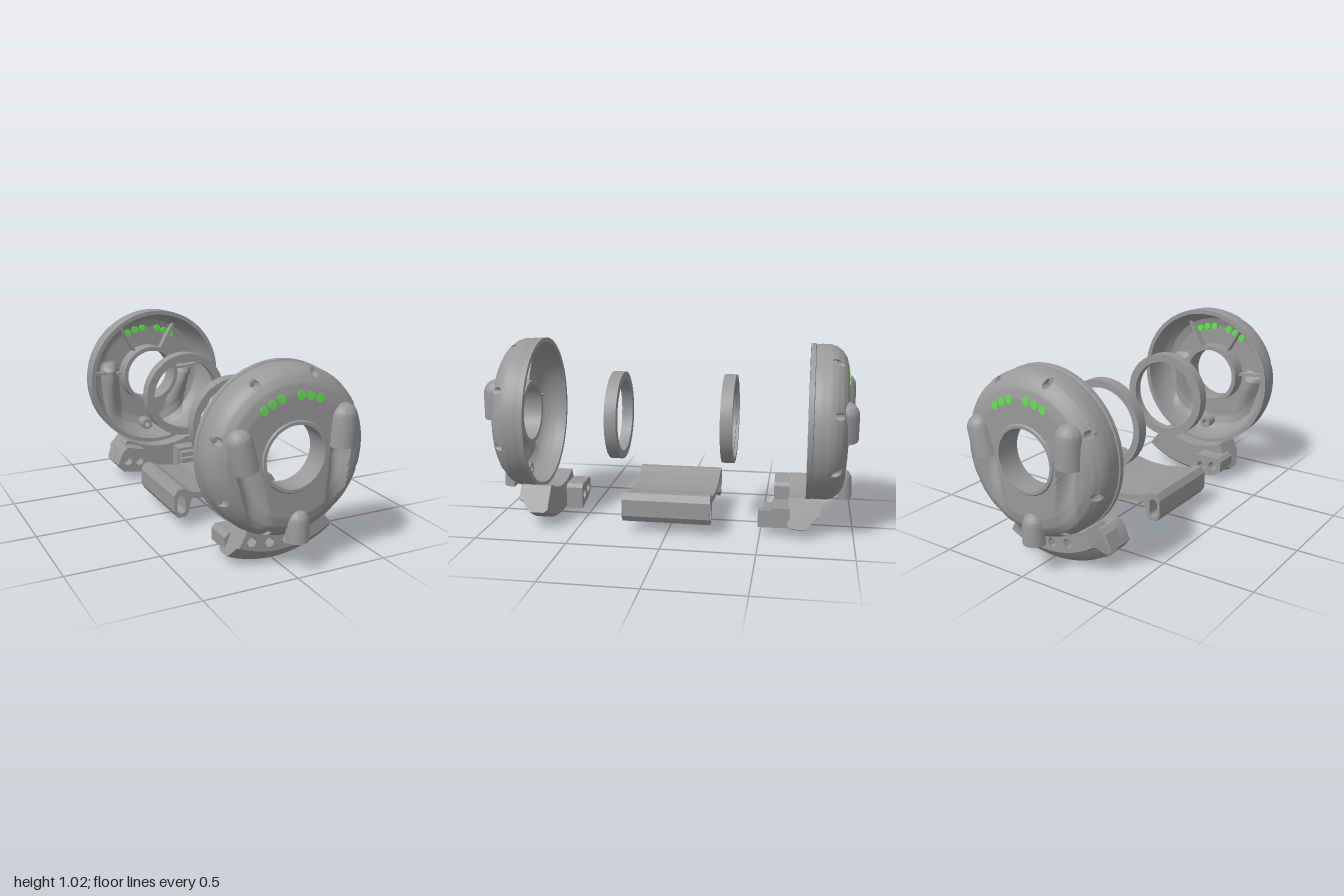
import * as THREE from 'three';
import { toCreasedNormals } from 'three/addons/utils/BufferGeometryUtils.js';

const grey = new THREE.MeshStandardMaterial({ color: 0x999999 });
const greyThin = new THREE.MeshStandardMaterial({ color: 0x999999, side: THREE.DoubleSide });
const green = new THREE.MeshStandardMaterial({ color: 0x60e84c });
const CY = 0.6; // height of the disc axis
const rad = THREE.MathUtils.degToRad;
const v2 = (list) => list.map(([x, y]) => new THREE.Vector2(x, y));

function add(parent, name, geometry, x = 0, y = 0, z = 0, material = grey) {
  const mesh = new THREE.Mesh(geometry, material);
  mesh.name = name;
  mesh.position.set(x, y, z);
  parent.add(mesh);
  return mesh;
}

// Lathe spun about the z axis; profile is (radius, z), angle 0 points down
function spin(profile, segments, start = 0, length = Math.PI * 2) {
  return new THREE.LatheGeometry(v2(profile), segments, start, length).rotateX(Math.PI / 2);
}

function extrude(shape, z0, z1) {
  return new THREE.ExtrudeGeometry(shape, { depth: z1 - z0, bevelEnabled: false, curveSegments: 8 }).translate(0, 0, z0);
}

function circlePath(x, y, r, sides) {
  const pts = [];
  for (let i = 0; i < sides; i++) {
    const a = -i / sides * Math.PI * 2;
    pts.push([x + r * Math.cos(a), y + r * Math.sin(a)]);
  }
  return new THREE.Path(v2(pts));
}

// Disc profile: rim, rounded outside, bore, then the hollow inside
const ROUND = [[0.42, 0.85], [0.41, 0.88], [0.385, 0.912], [0.35, 0.934], [0.3, 0.945]];
const OUTER = [[0.4, 0.74], [0.425, 0.74], [0.425, 0.765], [0.418, 0.768], [0.422, 0.8], ...ROUND, [0.178, 0.945], [0.172, 0.952], [0.157, 0.952]];
const INNER = [[0.157, 0.82], [0.182, 0.82], [0.182, 0.915], [0.3, 0.915], [0.345, 0.9], [0.372, 0.87], [0.385, 0.84], [0.395, 0.8], [0.4, 0.74]];
const SCREWS = [[-0.19, 0.953], [0.115, 0.98], [0.35, 0.785], [0.38, 0.485], [0.185, 0.247], [-0.117, 0.222], [-0.35, 0.413], [-0.38, 0.715]];
const BORE = 0.02, BORE_FLOOR = 0.86;
// Troughs below the hoods: from, to, half width
const TROUGHS = [[-0.268, 0.63, -0.16, 0.26, 0.058], [0.257, 0.69, 0.225, 0.27, 0.057]];

// Height of the rounded shoulder at a radius
function shoulderZ(r) {
  for (let i = 0; i < ROUND.length - 1; i++) {
    const [r0, z0] = ROUND[i], [r1, z1] = ROUND[i + 1];
    if (r <= r0 && r >= r1) return z0 + (z1 - z0) * (r0 - r) / (r0 - r1);
  }
  return r > 0.4 ? 0.85 : 0.945;
}

function discGeometry() {
  const rows = [];
  const keys = [...OUTER, ...INNER];
  let innerStart = 0;
  keys.forEach((p, i) => {
    if (i === OUTER.length) innerStart = rows.length;
    rows.push(p);
    const q = keys[i + 1];
    if (!q) return;
    const n = Math.ceil(Math.hypot(q[0] - p[0], q[1] - p[1]) / 0.011);
    for (let k = 1; k < n; k++) rows.push([p[0] + (q[0] - p[0]) * k / n, p[1] + (q[1] - p[1]) * k / n]);
  });
  const g = spin(rows, 288).translate(0, CY, 0);
  const pos = g.attributes.position;
  for (let i = 0; i < pos.count; i++) {
    let x = pos.getX(i), y = pos.getY(i), z = pos.getZ(i);
    const inner = i % rows.length >= innerStart;
    const radius = Math.hypot(x, y - CY);
    // troughs, pressed through both skins and fading out downwards
    if (radius > 0.19 && z > 0.84) {
      for (const [ax, ay, bx, by, w] of TROUGHS) {
        const dx = bx - ax, dy = by - ay, len = Math.hypot(dx, dy);
        const t = ((x - ax) * dx + (y - ay) * dy) / (len * len);
        const d = ((x - ax) * dy - (y - ay) * dx) / len / w;
        if (t > 0 && t < 1 && Math.abs(d) < 1) z -= 0.06 * (1 - d * d) * Math.min(1, t * 8) * Math.min(1, (1 - t) * 1.4);
      }
    }
    // screw bores: gather nearby vertices onto a clean round edge
    if (!inner && radius > 0.34 && z >= 0.85) {
      for (const [sx, sy] of SCREWS) {
        const d = Math.hypot(x - sx, y - sy);
        if (d > 0.031) continue;
        const inside = d < BORE + 0.001;
        const k = inside ? (d > 0.011 ? (BORE - 0.001) / d : 1) : BORE / d;
        x = sx + (x - sx) * k;
        y = sy + (y - sy) * k;
        z = shoulderZ(Math.hypot(x, y - CY));
        if (inside) z = Math.min(z, BORE_FLOOR);
        break;
      }
    }
    pos.setXYZ(i, x, y, z);
  }
  return toCreasedNormals(g, 0.5);
}

// Hollow round-topped hood, open at its lower end, its back flattened into the shell
function hoodGeometry(r, len) {
  const pts = [];
  for (let i = 0; i <= 4; i++) {
    const a = Math.PI / 2 * (1 - i / 4);
    pts.push([r * 0.75 * Math.cos(a), len + r * 0.75 * Math.sin(a)]);
  }
  pts.push([r * 0.75, 0], [r, 0]);
  for (let i = 0; i <= 4; i++) {
    const a = Math.PI / 2 * i / 4;
    pts.push([r * 0.97 * Math.cos(a), len + r * Math.sin(a)]);
  }
  const g = new THREE.LatheGeometry(v2(pts), 14);
  const pos = g.attributes.position;
  for (let i = 0; i < pos.count; i++) pos.setZ(i, Math.max(pos.getZ(i), -0.012));
  return toCreasedNormals(g, 0.5);
}

function createDisc() {
  const disc = new THREE.Group();
  disc.name = 'discHousing';
  add(disc, 'discShell', discGeometry());

  const hoods = [['rightHood', -0.255, 0.57, 0.067, 0.14, 0.237], ['leftHood', 0.255, 0.62, 0.071, 0.14, -0.05], ['lowerHood', 0.03, 0.173, 0.06, 0.1, 0]];
  for (const [name, x, y, r, len, tilt] of hoods) add(disc, name, hoodGeometry(r, len), x, y, 0.93).rotation.z = tilt;

  const head = new THREE.CylinderGeometry(0.014, 0.014, 0.012, 8).rotateX(Math.PI / 2);
  for (const [x, y] of SCREWS) add(disc, 'screwHead', head, x, y, BORE_FLOOR + 0.004);

  const lamp = new THREE.CylinderGeometry(0.021, 0.021, 0.045, 10).rotateX(Math.PI / 2);
  for (const [x, y] of [[-0.17, 0.84], [-0.127, 0.865], [-0.08, 0.885], [0.022, 0.893], [0.073, 0.885], [0.122, 0.868]]) {
    add(disc, 'lamp', lamp, x, y, 0.924, green);
  }

  // ribs and post inside the shell
  for (const deg of [5, 60, 120, 175]) {
    const a = rad(deg);
    add(disc, 'innerRib', new THREE.BoxGeometry(0.18, 0.014, 0.045), 0.27 * Math.cos(a), CY + 0.27 * Math.sin(a), 0.89).rotation.z = a;
  }
  const post = spin([[0.035, 0.91], [0.035, 0.83], [0.018, 0.83], [0.018, 0.91]], 12);
  add(disc, 'innerPost', toCreasedNormals(post, 0.6), 0.03, 0.27, 0, greyThin);
  return disc;
}

// Curved foot following the disc edge, drilled face above a bevelled lower band
function createFoot() {
  const foot = new THREE.Group();
  foot.name = 'foot';
  const a0 = rad(-25), a1 = rad(34.5);
  const at = (r, a) => [r * Math.sin(a), Math.min(CY - r * Math.cos(a), 0.238)];
  const pts = [];
  for (let i = 0; i <= 12; i++) pts.push(at(0.505, a0 + (a1 - a0) * i / 12));
  for (let i = 12; i >= 0; i--) pts.push(at(0.422, a0 + (a1 - a0) * i / 12));
  const face = new THREE.Shape(v2(pts));
  add(foot, 'bandBacking', toCreasedNormals(extrude(face, 0.65, 0.72), 0.5));
  for (const [x, y] of [[-0.153, 0.15], [-0.053, 0.13], [0.045, 0.13], [0.142, 0.15]]) face.holes.push(circlePath(x, y, 0.027, 6));
  add(foot, 'drilledBand', toCreasedNormals(extrude(face, 0.72, 0.82), 0.5));

  const profile = [[0.505, 0.65], [0.575, 0.65], [0.592, 0.67], [0.592, 0.745], [0.575, 0.765], [0.53, 0.795], [0.52, 0.82], [0.505, 0.82]];
  add(foot, 'bevelledBand', toCreasedNormals(spin(profile, 12, a0, a1 - a0), 0.4), 0, CY, 0);
  for (const a of [a0, a1]) {
    const u = new THREE.Vector3(Math.sin(a), -Math.cos(a), 0), w = new THREE.Vector3(0, 0, 1);
    const cap = new THREE.ShapeGeometry(new THREE.Shape(v2(profile)));
    cap.applyMatrix4(new THREE.Matrix4().makeBasis(u, w, u.clone().cross(w)));
    add(foot, 'bandEnd', cap, 0, CY, 0, greyThin);
  }
  return foot;
}

// Block reaching inwards with two round sockets
function socketBlock(parent, outline, z0, z1, holes) {
  const shape = new THREE.Shape(v2(outline));
  add(parent, 'socketBlockRoot', extrude(shape, z0 + 0.06, z1));
  for (const [x, y] of holes) shape.holes.push(circlePath(x, y, 0.028, 14));
  add(parent, 'socketBlock', toCreasedNormals(extrude(shape, z0, z0 + 0.06), 0.5));
}

// Faceted bridge with a slotted leg at each side
function createPlate() {
  const half = [[0.05, 0.185], [0.2, 0.21], [0.25, 0.235], [0.285, 0.235], [0.307, 0.2], [0.307, 0.11], [0.285, 0.075], [0.24, 0.075], [0.222, 0.1], [0.205, 0.175], [0.05, 0.155]];
  const shape = new THREE.Shape(v2([...half, ...half.map(([x, y]) => [-x, y]).reverse()]));
  for (const s of [-1, 1]) {
    const slot = new THREE.Path();
    slot.absarc(s * 0.265, 0.175, 0.024, 0, Math.PI, false);
    slot.absarc(s * 0.265, 0.12, 0.024, Math.PI, Math.PI * 2, false);
    slot.closePath();
    shape.holes.push(slot);
  }
  return toCreasedNormals(extrude(shape, -0.24, 0.24), 0.1);
}

export function createModel() {
  const model = new THREE.Group();
  model.name = 'explodedHousing';

  const front = new THREE.Group();
  front.name = 'frontHalf';
  front.add(createDisc(), createFoot());
  const back = front.clone();
  back.name = 'backHalf';
  back.rotation.y = Math.PI;
  model.add(front, back);

  // inward block of the front foot
  const low = [[-0.24, 0.075], [-0.2, 0.05], [-0.05, 0.015], [-0.05, 0.14], [-0.07, 0.16], [-0.22, 0.16], [-0.24, 0.14]];
  socketBlock(front, low, 0.555, 0.7, [[-0.185, 0.105], [-0.105, 0.09]]);

  // inward blocks of the back foot: sockets on one side, slotted clip on the other
  const high = [[0.14, 0.07], [0.17, 0.055], [0.3, 0.075], [0.335, 0.12], [0.3, 0.2], [0.27, 0.225], [0.16, 0.2], [0.14, 0.18]];
  socketBlock(back, high, 0.56, 0.72, [[0.195, 0.13], [0.27, 0.14]]);
  const clip = new THREE.Shape(v2([[-0.23, 0.062], [-0.07, 0.03], [-0.07, 0.17], [-0.23, 0.17]]));
  add(back, 'clipRoot', extrude(clip, 0.56, 0.66));
  add(back, 'clipSide', new THREE.BoxGeometry(0.045, 0.095, 0.12), -0.2075, 0.1075, 0.55);
  for (const y of [0.06, 0.1, 0.14]) add(back, 'clipTooth', new THREE.BoxGeometry(0.11, 0.028, 0.06), -0.13, y, 0.545);

  add(model, 'bridgePlate', createPlate());

  // stepped rings
  const ring = [[0.2, 0.28], [0.245, 0.28], [0.245, 0.345], [0.215, 0.345], [0.215, 0.33], [0.2, 0.33], [0.2, 0.28]];
  const ringGeometry = toCreasedNormals(spin(ring, 40), 0.5);
  add(model, 'frontRing', ringGeometry, 0, CY, 0);
  add(model, 'backRing', ringGeometry, 0, CY, 0).rotation.y = Math.PI;
  return model;
}
